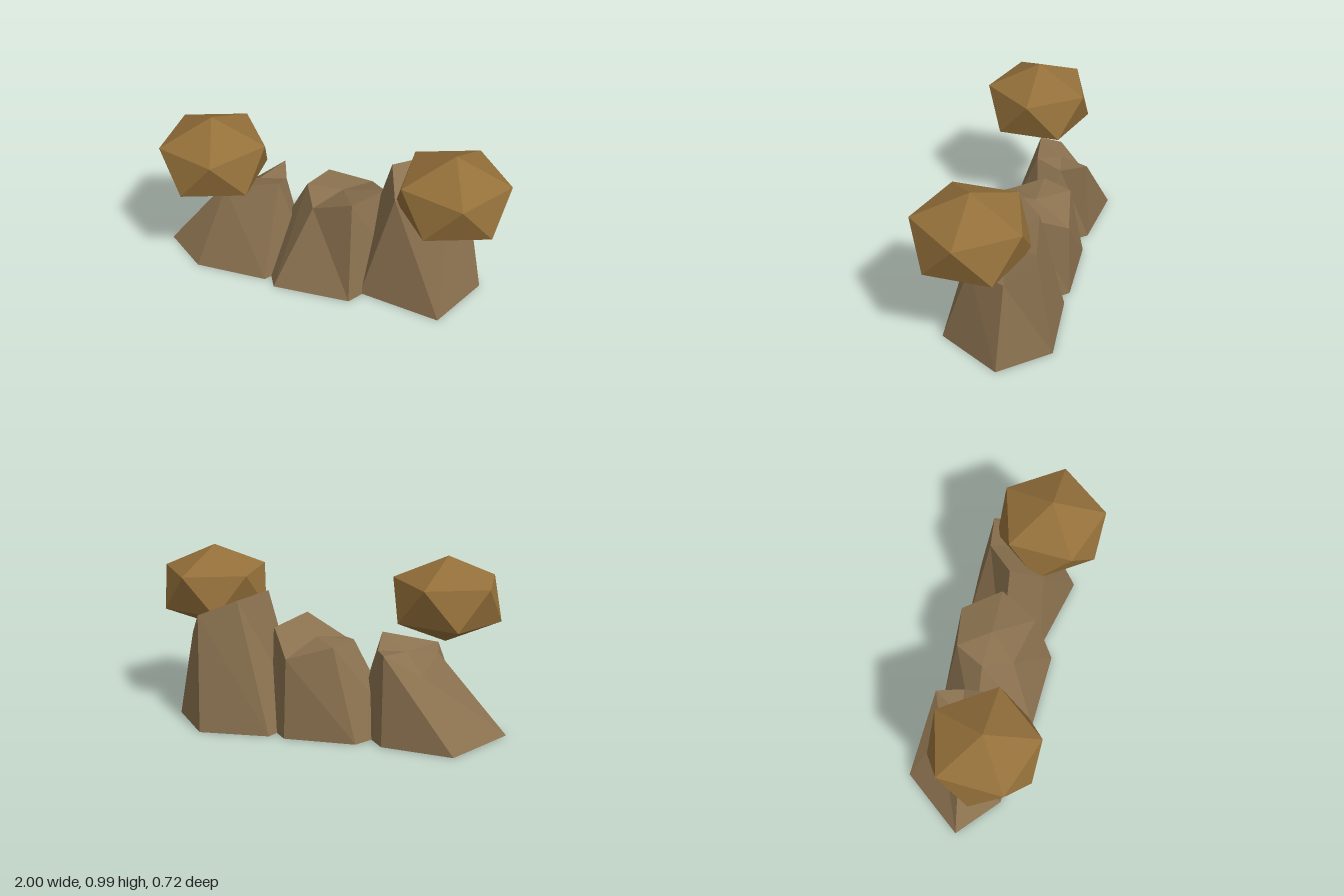
import * as THREE from 'three';
import { ConvexGeometry } from 'three/addons/geometries/ConvexGeometry.js';

const rockBrown = new THREE.MeshStandardMaterial({ color: 0x8b7250 });
rockBrown.name = 'rockBrown';
const boulderOchre = new THREE.MeshStandardMaterial({ color: 0x94703a });
boulderOchre.name = 'boulderOchre';

// Six-sided stump: base corners [x, z] and top corners [x, y, z],
// both ordered left, back left, back right, right, front right, front left
function rockGeometry(base, top) {
  const b = base.map(([x, z]) => [x, 0, z]);
  const n = b.length;
  const middle = (ring) => [0, 1, 2].map((k) => ring.reduce((s, p) => s + p[k], 0) / n);
  const capTop = middle(top), capBase = middle(b);
  const pos = [];
  const tri = (...corners) => corners.forEach((c) => pos.push(...c));
  for (let i = 0; i < n; i++) {
    const j = (i + 1) % n;
    tri(b[j], b[i], top[j]);
    tri(b[i], top[i], top[j]);
    tri(capTop, top[j], top[i]);
    tri(capBase, b[i], b[j]);
  }
  const geo = new THREE.BufferGeometry();
  geo.setAttribute('position', new THREE.Float32BufferAttribute(pos, 3));
  geo.computeVertexNormals(); // unshared corners keep the faces flat
  return geo;
}

// Squashed twenty-sided boulder standing on one corner
function boulderGeometry(ringRadius, halfHeight) {
  const pts = [new THREE.Vector3(0, halfHeight, 0), new THREE.Vector3(0, -halfHeight, 0)];
  for (let i = 0; i < 10; i++) {
    const a = (i * Math.PI) / 5;
    const y = (i % 2 ? -1 : 1) * halfHeight * 0.447;
    pts.push(new THREE.Vector3(Math.cos(a) * ringRadius, y, Math.sin(a) * ringRadius));
  }
  return new ConvexGeometry(pts);
}

const rocks = {
  rightRock: {
    base: [[-1, 0], [-0.745, -0.36], [-0.35, -0.31], [-0.14, -0.05], [-0.33, 0.21], [-0.755, 0.2]],
    top: [[-0.615, 0.48, -0.07], [-0.55, 0.38, -0.2], [-0.35, 0.51, -0.285],
      [-0.295, 0.49, -0.14], [-0.295, 0.555, 0], [-0.6, 0.5, 0.055]],
  },
  middleRock: {
    base: [[-0.42, -0.06], [-0.21, -0.31], [0.19, -0.32], [0.42, -0.06], [0.19, 0.255], [-0.26, 0.255]],
    top: [[-0.15, 0.525, -0.08], [-0.07, 0.525, -0.25], [0.18, 0.455, -0.3],
      [0.3, 0.565, -0.09], [0.17, 0.6, 0.14], [-0.07, 0.485, 0.08]],
  },
  leftRock: {
    base: [[0.14, -0.05], [0.28, -0.31], [0.675, -0.34], [0.885, -0.085], [0.705, 0.265], [0.235, 0.17]],
    top: [[0.34, 0.77, -0.06], [0.475, 0.74, -0.21], [0.69, 0.655, -0.25],
      [0.78, 0.51, -0.105], [0.69, 0.505, 0.1], [0.4, 0.67, 0.12]],
  },
};

export function createModel() {
  const model = new THREE.Group();
  model.name = 'rockFormation';

  // Three stumps joined in a row
  for (const [name, { base, top }] of Object.entries(rocks)) {
    const rock = new THREE.Mesh(rockGeometry(base, top), rockBrown);
    rock.name = name;
    model.add(rock);
  }

  // A boulder above each outer stump
  const boulder = boulderGeometry(0.3, 0.242);
  for (const [name, x] of [['rightBoulder', -0.636], ['leftBoulder', 0.697]]) {
    const mesh = new THREE.Mesh(boulder, boulderOchre);
    mesh.name = name;
    mesh.position.set(x, 0.743, 0.078);
    model.add(mesh);
  }
  return model;
}
